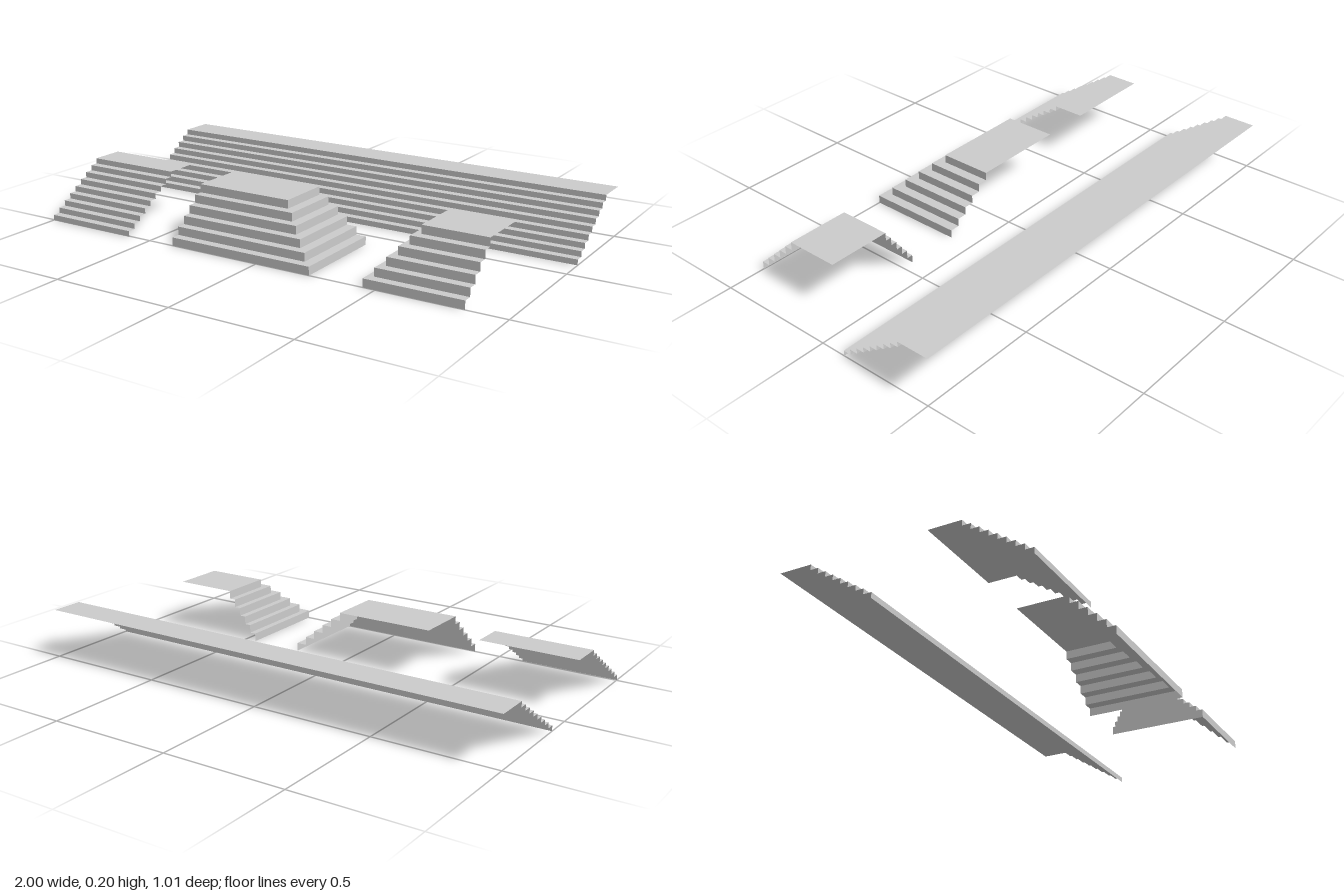
import * as THREE from 'three';

const HEIGHT = 0.2;
const material = new THREE.MeshStandardMaterial({ color: 0xcccccc, flatShading: true, side: THREE.DoubleSide });

// Open sheet of risers and treads. outline(i) gives the plan path [x, z] of level i,
// running left to right as seen by someone climbing; landing is the top rectangle.
function stairSheet(name, levels, outline, landing) {
  const pos = [];
  const quad = (a, b, c, d) => pos.push(...a, ...b, ...c, ...a, ...c, ...d);
  const at = ([x, z], y) => [x, y, z];

  for (let i = 0; i < levels; i++) {
    const y0 = HEIGHT * i / levels, y1 = HEIGHT * (i + 1) / levels;
    const outer = outline(i), inner = outline(i + 1);
    for (let k = 0; k < outer.length - 1; k++) {
      const a = outer[k], b = outer[k + 1];
      quad(at(a, y0), at(b, y0), at(b, y1), at(a, y1));                                  // riser
      if (i < levels - 1) quad(at(a, y1), at(b, y1), at(inner[k + 1], y1), at(inner[k], y1)); // tread
    }
  }
  const [x0, x1, zBack, zFront] = landing;
  quad([x0, HEIGHT, zFront], [x1, HEIGHT, zFront], [x1, HEIGHT, zBack], [x0, HEIGHT, zBack]);

  const geometry = new THREE.BufferGeometry();
  geometry.setAttribute('position', new THREE.Float32BufferAttribute(pos, 3));
  geometry.computeVertexNormals();
  const mesh = new THREE.Mesh(geometry, material);
  mesh.name = name;
  return mesh;
}

// Flight descending to the front only
function straightStairs(name, x0, x1, zBack, zFront) {
  const levels = 9, tread = (zFront - zBack) / 12;
  const z = i => zFront - i * tread;
  return stairSheet(name, levels, i => [[x0, z(i)], [x1, z(i)]], [x0, x1, zBack, z(levels - 1)]);
}

// Flight descending to the front and to one side; xOpen is the plain side, xFoot the stepped one
function cornerStairs(name, xOpen, xFoot, xTop, zBack, zFront) {
  const levels = 6, tread = (zFront - zBack) / 11;
  const z = i => zFront - i * tread;
  const x = i => xFoot + (xTop - xFoot) * i / (levels - 1);
  const toLeft = xFoot > xOpen;
  const outline = i => {
    const path = [[xOpen, z(i)], [x(i), z(i)], [x(i), zBack]];
    return toLeft ? path : path.reverse();
  };
  return stairSheet(name, levels, outline,
    [Math.min(xOpen, xTop), Math.max(xOpen, xTop), zBack, z(levels - 1)]);
}

export function createModel() {
  const model = new THREE.Group();
  model.name = 'stairSet';
  model.add(
    straightStairs('wideStairs', -1, 1, -0.507, -0.107),
    straightStairs('narrowStairs', -1, -0.6, 0.104, 0.504),
    cornerStairs('largeCornerStairs', -0.387, 0.23, 0.021, 0.1, 0.5),
    cornerStairs('smallCornerStairs', 0.842, 0.45, 0.58, 0.1, 0.5),
  );
  return model;
}
